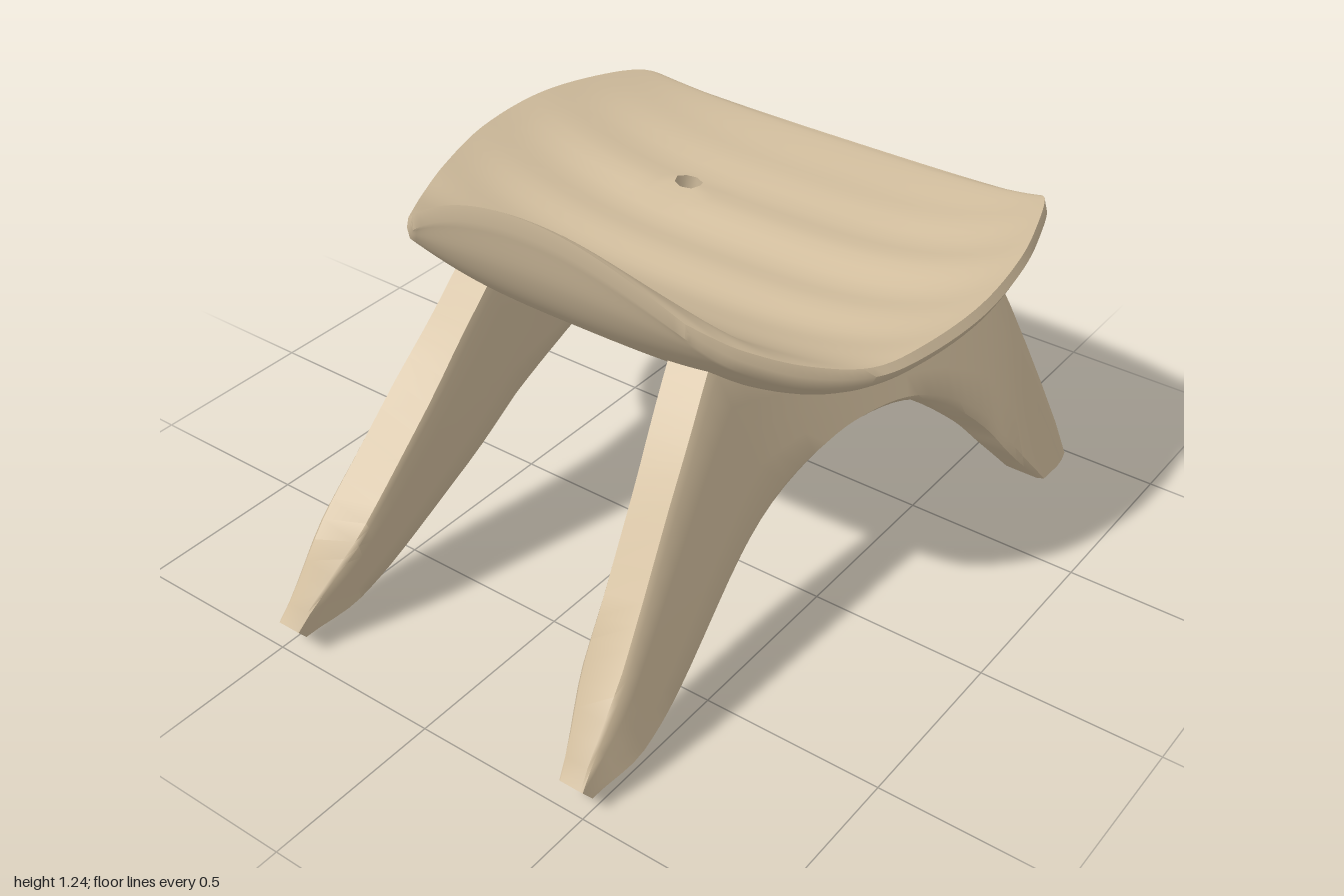
import * as THREE from 'three';
import { toCreasedNormals } from 'three/addons/utils/BufferGeometryUtils.js';

const wood = new THREE.MeshStandardMaterial({ color: 0xd2be9e });
const { lerp, smoothstep } = THREE.MathUtils;

// Skin a list of closed rings, close both ends, and add any extra triangles.
function loft(rings, skip = () => false, extra = []) {
  const m = rings[0].length, last = (rings.length - 1) * m, index = [...extra];
  for (let i = 0; i < rings.length - 1; i++) {
    for (let k = 0; k < m; k++) {
      if (skip(i, k)) continue;
      const a = i * m + k, b = i * m + (k + 1) % m, c = a + m, d = b + m;
      index.push(a, c, b, b, c, d);
    }
  }
  for (let k = 0; k < m / 2 - 1; k++) {
    const t0 = k, t1 = k + 1, b0 = m - 1 - k, b1 = m - 2 - k;
    index.push(t0, t1, b0, t1, b1, b0);
    index.push(last + t0, last + b0, last + t1, last + t1, last + b0, last + b1);
  }
  const g = new THREE.BufferGeometry();
  g.setAttribute('position', new THREE.Float32BufferAttribute(rings.flat(2), 3));
  g.setIndex(index);
  return toCreasedNormals(g, 0.8);
}

function spline(points) {
  return new THREE.CatmullRomCurve3(points.map(p => new THREE.Vector3(...p)), false, 'catmullrom', 0.5);
}

// Saddle seat: stations run from the low back edge to the raised front lip.
function seatGeometry() {
  // z centre, z edge, half width, top centre, top edge, bottom centre, bottom edge
  const stations = [
    [-0.955, -0.86, 0.59, 0.815, 0.88, 0.78, 0.825],
    [-0.90, -0.78, 0.665, 0.82, 0.935, 0.765, 0.87],
    [-0.72, -0.62, 0.73, 0.81, 0.957, 0.75, 0.90],
    [-0.45, -0.42, 0.785, 0.80, 0.96, 0.72, 0.91],
    [-0.20, -0.20, 0.80, 0.78, 0.94, 0.69, 0.89],
    [0.00, 0.00, 0.765, 0.79, 0.915, 0.68, 0.865],
    [0.18, 0.15, 0.71, 0.86, 0.905, 0.735, 0.86],
    [0.33, 0.29, 0.615, 0.98, 0.945, 0.83, 0.885],
    [0.44, 0.40, 0.52, 1.13, 1.005, 0.93, 0.945],
    [0.51, 0.455, 0.46, 1.21, 1.05, 1.05, 0.995],
    [0.55, 0.49, 0.415, 1.24, 1.085, 1.195, 1.045],
  ];
  const plan = spline(stations.map(s => [s[0], s[1], s[2]]));
  const top = spline(stations.map(s => [s[3], s[4], 0]));
  const bottom = spline(stations.map(s => [s[5], s[6], 0]));
  const N = 36, R = 60, M = 2 * N + 4;
  const rings = [];
  for (let i = 0; i <= R; i++) {
    const p = plan.getPoint(i / R), t = top.getPoint(i / R), b = bottom.getPoint(i / R);
    const front = smoothstep(p.x, 0.2, 0.5);
    const point = (j, upper) => {
      const u = 2 * j / N - 1, a = Math.abs(u);
      const x = u * p.z, z = lerp(p.x, p.y, a ** 3);
      let y = upper
        ? lerp(t.x, t.y, a ** lerp(3, 2.2, front))
        : lerp(b.x, b.y, a ** lerp(4.7, 2.2, front));
      // Shallow cross ripples, fainter underneath
      if (z > -0.8 && z < 0.1) {
        const fade = Math.sin(Math.PI * (z + 0.8) / 0.9) * (1 - a ** 4);
        y += (upper ? 0.01 : 0.006) * fade * Math.cos(2 * Math.PI * (z + 0.16) / 0.26);
      }
      return [x, y, z];
    };
    const rim = side => [side * p.z * 1.015, (t.y + b.y) / 2, p.y];
    const ring = [rim(-1)];
    for (let j = 0; j <= N; j++) ring.push(point(j, true));
    ring.push(rim(1));
    for (let j = N; j >= 0; j--) ring.push(point(j, false));
    rings.push(ring);
  }

  // Small round hole: pull eight grid points onto a circle and line its wall
  const row = 18, col = 12, up = j => 1 + j, low = j => 2 * N + 3 - j;
  const around = [[0, 1], [1, 1], [1, 0], [1, -1], [0, -1], [-1, -1], [-1, 0], [-1, 1]];
  const wall = [];
  around.forEach(([di, dj], n) => {
    const l = Math.hypot(di, dj), i = row + di, j = col + dj;
    for (const k of [up(j), low(j)]) {
      rings[i][k][0] = -0.28 + 0.04 * dj / l;
      rings[i][k][2] = -0.475 + 0.04 * di / l;
    }
    const [ei, ej] = around[(n + 1) % 8];
    const t0 = i * M + up(j), b0 = i * M + low(j);
    const t1 = (row + ei) * M + up(col + ej), b1 = (row + ei) * M + low(col + ej);
    wall.push(t0, b0, t1, t1, b0, b1);
  });
  const open = [up(col - 1), up(col), low(col), low(col + 1)];
  return loft(rings, (i, k) => (i === row - 1 || i === row) && open.includes(k), wall);
}

// Side frame: a front and a back leg joined by an arch, splayed outwards.
function legGeometry(side) {
  // [z, y] along the arch below and along the outline above
  const under = [[0.97, 0.052], [0.8, 0.08], [0.65, 0.14], [0.4, 0.3], [0.2, 0.42], [0, 0.488],
    [-0.14, 0.505], [-0.3, 0.485], [-0.45, 0.41], [-0.6, 0.275], [-0.7, 0.15], [-0.82, 0.012]];
  const over = [[1, 0.09], [0.86, 0.27], [0.72, 0.44], [0.53, 0.68], [0.36, 0.9], [0.08, 0.76],
    [-0.14, 0.75], [-0.32, 0.76], [-0.5, 0.79], [-0.68, 0.81], [-0.79, 0.55], [-1, 0.005]];
  const arch = spline(under.map(([z, y]) => [0, y, z]));
  const steps = 4, count = (under.length - 1) * steps;
  const levels = [[0, 0.75], [0.06, 1], [0.28, 1], [0.5, 1], [0.72, 1], [0.94, 1], [1, 0.85]];
  const rings = [];
  for (let i = 0; i <= count; i++) {
    const s = Math.min(Math.floor(i / steps), over.length - 2), f = i / steps - s;
    const a = arch.getPoint(i / count);
    const b = new THREE.Vector3(0, lerp(over[s][1], over[s + 1][1], f), lerp(over[s][0], over[s + 1][0], f));
    const point = ([v, fat], face) => {
      const p = a.clone().lerp(b, v);
      const back = 1 - smoothstep(p.z, -0.8, 0.42);
      const x = lerp(0.48 - 0.16 * p.y, 0.68 - 0.25 * p.y, back);
      // Feet narrow towards their tips
      const half = 0.067 - 0.032 * smoothstep(p.z, 0.8, 1) - 0.017 * smoothstep(-p.z, 0.92, 1);
      // Edges stay square to the tilted plate
      const lift = face * half * 0.22 * smoothstep(p.y, 0.1, 0.4) * (1 - smoothstep(p.y, 0.6, 0.8));
      return [side * (x + side * face * half * fat), p.y + side * lift, p.z];
    };
    rings.push([...levels.map(l => point(l, 1)), ...levels.map(l => point(l, -1)).reverse()]);
  }
  return loft(rings);
}

export function createModel() {
  const model = new THREE.Group();
  model.name = 'stool';
  const add = (name, geometry) => {
    const mesh = new THREE.Mesh(geometry, wood);
    mesh.name = name;
    model.add(mesh);
  };
  add('seat', seatGeometry());
  add('leftLegFrame', legGeometry(1));
  add('rightLegFrame', legGeometry(-1));
  return model;
}
